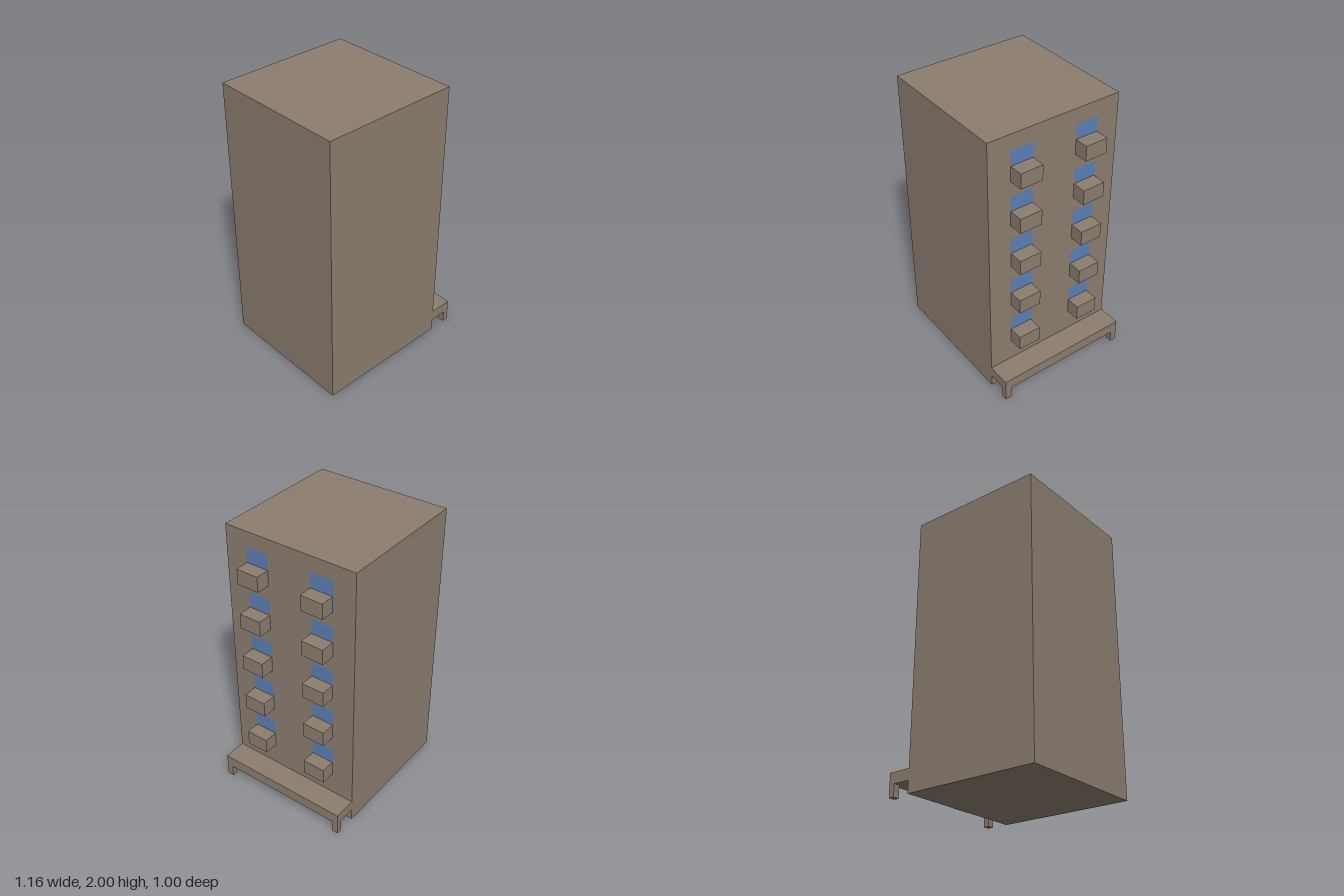
import * as THREE from 'three';

const wallMat = new THREE.MeshStandardMaterial({ color: 0x8c7e70 });
const glassMat = new THREE.MeshStandardMaterial({ color: 0x5b80b4 });
const frameMat = new THREE.MeshStandardMaterial({ color: 0x6e4128 });

const WALL_X = 0.415; // plane of the balcony facade

// Box given by its minimum and maximum corners
function box(name, material, [x0, y0, z0], [x1, y1, z1]) {
  const mesh = new THREE.Mesh(new THREE.BoxGeometry(x1 - x0, y1 - y0, z1 - z0), material);
  mesh.position.set((x0 + x1) / 2, (y0 + y1) / 2, (z0 + z1) / 2);
  mesh.name = name;
  return mesh;
}

// Flat pane on the facade, facing +x
function pane(name, width, height, x, y, z) {
  const mesh = new THREE.Mesh(new THREE.PlaneGeometry(width, height), glassMat);
  mesh.rotation.y = Math.PI / 2;
  mesh.position.set(x, y, z);
  mesh.name = name;
  return mesh;
}

// Window with a solid balcony in front of its lower half
function createBalconyUnit(y, z) {
  const unit = new THREE.Group();
  unit.name = 'balconyUnit';
  unit.add(pane('window', 0.167, 0.222, WALL_X + 0.002, y + 0.111, z));
  unit.add(box('balcony', wallMat, [WALL_X, y, z - 0.083], [0.518, y + 0.111, z + 0.083]));
  return unit;
}

// Full-width entrance canopy on two corner posts
function createCanopy() {
  const canopy = new THREE.Group();
  canopy.name = 'entranceCanopy';
  canopy.add(box('canopySlab', wallMat, [WALL_X, 0.088, -0.5], [0.582, 0.168, 0.5]));
  canopy.add(box('leftPost', wallMat, [0.54, 0, -0.5], [0.582, 0.088, -0.453]));
  canopy.add(box('rightPost', wallMat, [0.54, 0, 0.453], [0.582, 0.088, 0.5]));
  return canopy;
}

// Double door: brown frame with two glass leaves
function createDoor() {
  const door = new THREE.Group();
  door.name = 'entranceDoor';
  door.add(box('doorFrame', frameMat, [WALL_X, 0, -0.08], [WALL_X + 0.004, 0.085, 0.08]));
  for (const side of [-1, 1]) {
    door.add(pane('doorGlass', 0.06, 0.065, WALL_X + 0.006, 0.042, side * 0.039));
  }
  return door;
}

export function createModel() {
  const building = new THREE.Group();
  building.name = 'apartmentBuilding';
  building.add(box('tower', wallMat, [-0.582, 0, -0.5], [WALL_X, 2, 0.5]));

  // Five floors with two balconies each
  for (let floor = 0; floor < 5; floor++) {
    for (const side of [-1, 1]) {
      building.add(createBalconyUnit(0.335 + floor / 3, side * 0.25));
    }
  }

  building.add(createCanopy(), createDoor());
  return building;
}
